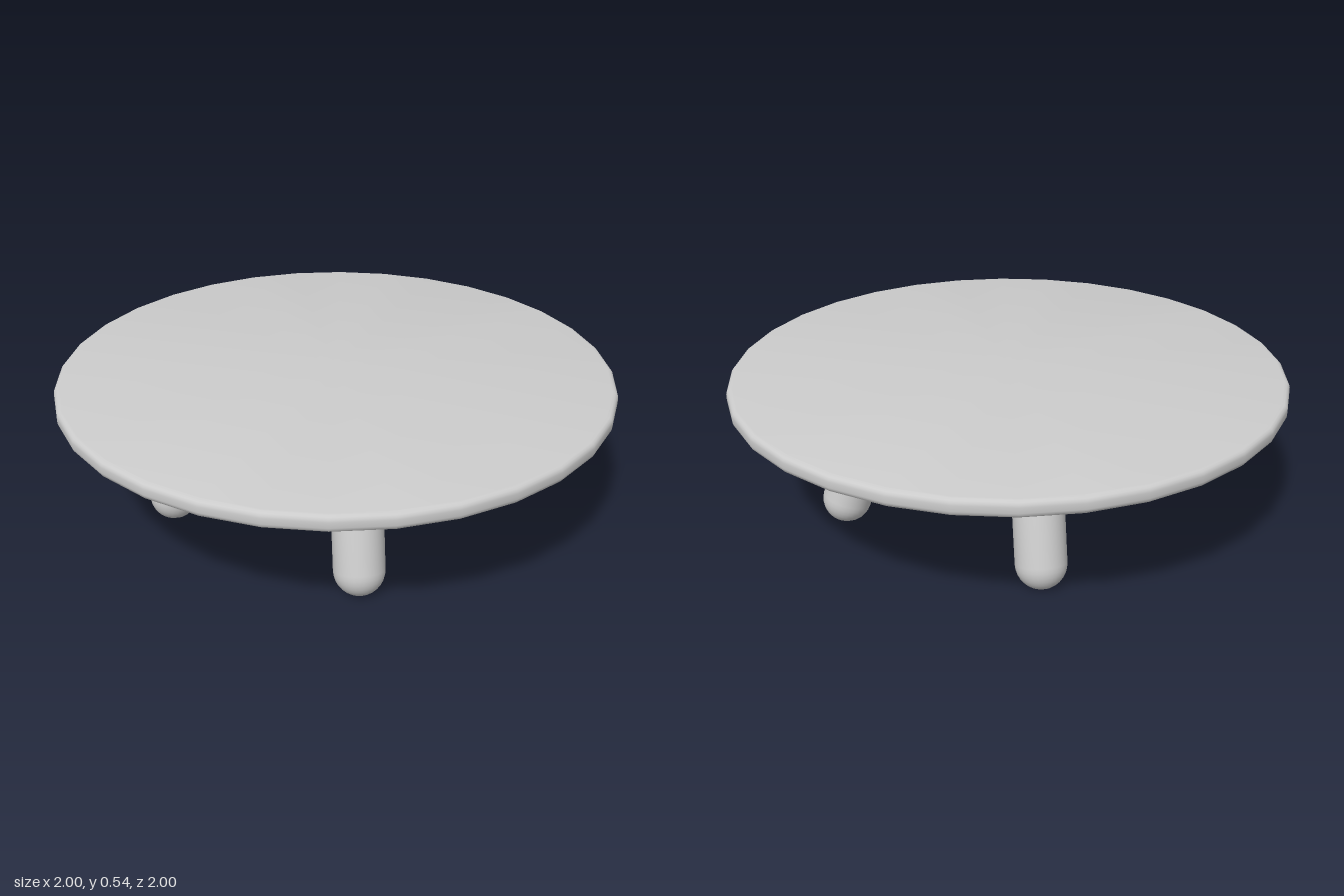
import * as THREE from 'three';
import { toCreasedNormals } from 'three/addons/utils/BufferGeometryUtils.js';

const material = new THREE.MeshStandardMaterial({ color: 0xcccccc });

// Flat 32-sided disc with a rounded rim
function disc(name, radius, bottom, top, bevel) {
  const points = [new THREE.Vector2(0, bottom)];
  const steps = 4;
  for (const [centreY, start] of [[bottom + bevel, -Math.PI / 2], [top - bevel, 0]]) {
    for (let i = 0; i <= steps; i++) {
      const a = start + (i / steps) * Math.PI / 2;
      points.push(new THREE.Vector2(radius - bevel + bevel * Math.cos(a), centreY + bevel * Math.sin(a)));
    }
  }
  points.push(new THREE.Vector2(0, top));
  const mesh = new THREE.Mesh(toCreasedNormals(new THREE.LatheGeometry(points, 32), 0.5), material);
  mesh.name = name;
  return mesh;
}

// Splayed round leg with a domed foot, flattened where it meets the floor
function leg(name, sx, sz) {
  const r = 0.088;
  const foot = new THREE.Vector3(0.413 * sx, 0.076, 0.455 * sz);
  const head = new THREE.Vector3(0.32 * sx, 0.49, 0.348 * sz);
  const axis = head.clone().sub(foot);
  const length = axis.length();

  const points = [];
  for (let i = 0; i <= 8; i++) {
    const a = (i / 8) * Math.PI / 2;
    points.push(new THREE.Vector2(r * Math.sin(a), -r * Math.cos(a)));
  }
  points.push(new THREE.Vector2(r, length), new THREE.Vector2(0, length));

  const geometry = new THREE.LatheGeometry(points, 32);
  const up = new THREE.Vector3(0, 1, 0);
  geometry.applyQuaternion(new THREE.Quaternion().setFromUnitVectors(up, axis.normalize()));
  geometry.translate(foot.x, foot.y, foot.z);
  const position = geometry.attributes.position;
  for (let i = 0; i < position.count; i++) position.setY(i, Math.max(0, position.getY(i)));

  const mesh = new THREE.Mesh(toCreasedNormals(geometry, 0.7), material);
  mesh.name = name;
  return mesh;
}

export function createModel() {
  const table = new THREE.Group();
  table.name = 'roundTable';
  table.add(disc('tableTop', 1, 0.477, 0.536, 0.02));
  table.add(disc('underPanel', 0.947, 0.451, 0.48, 0.012));
  for (const [side, sx] of [['Left', 1], ['Right', -1]]) {
    for (const [end, sz] of [['front', 1], ['back', -1]]) table.add(leg(`${end}${side}Leg`, sx, sz));
  }
  return table;
}
